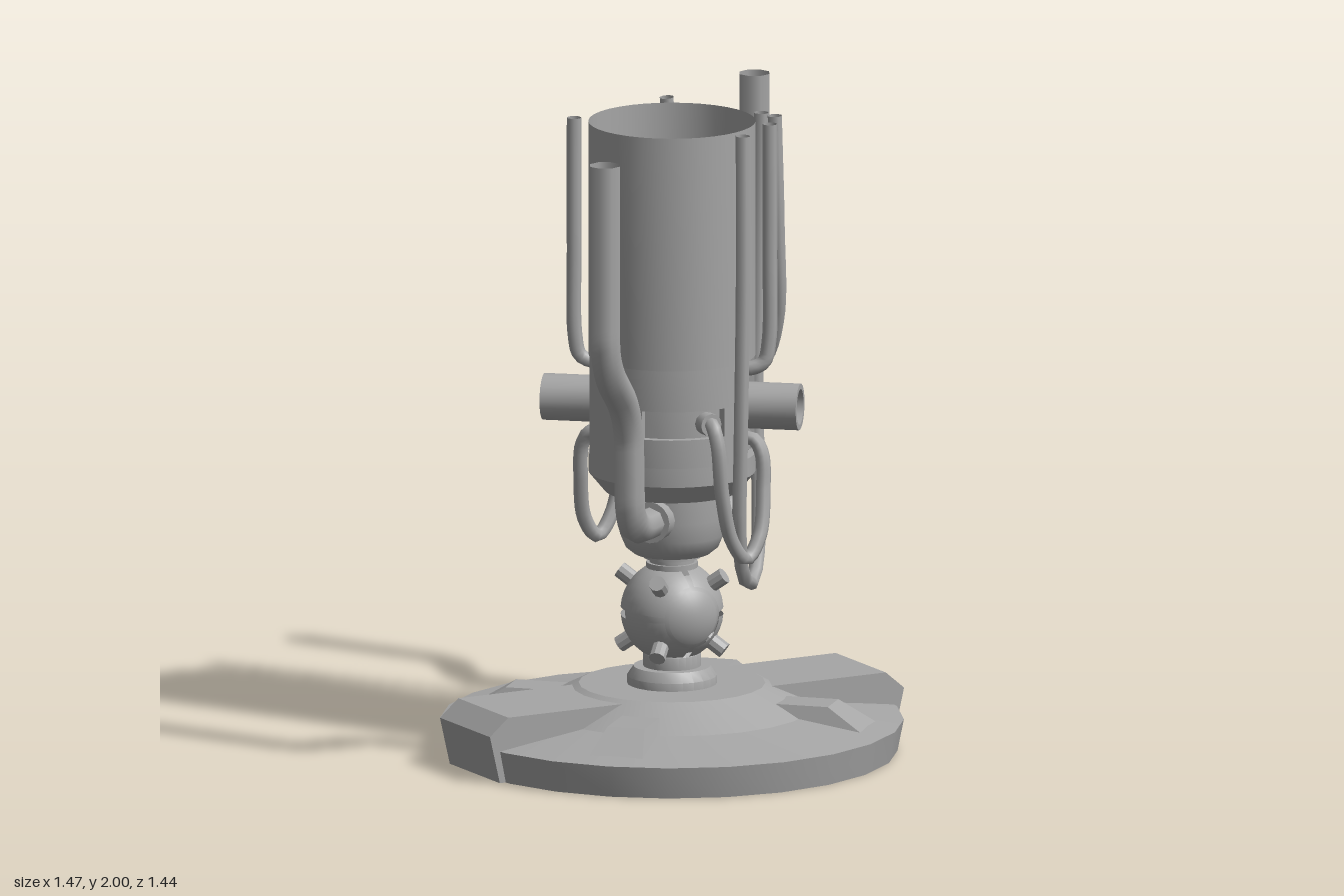
import * as THREE from 'three';
import { toCreasedNormals } from 'three/addons/utils/BufferGeometryUtils.js';

const metal = new THREE.MeshStandardMaterial({ color: 0xa6a6a6, side: THREE.DoubleSide });
metal.name = 'grey metal';
const rad = THREE.MathUtils.degToRad;
const V = (x, y, z) => new THREE.Vector3(x, y, z);

export function createModel() {
  const model = new THREE.Group();
  model.name = 'hose column';

  const add = (name, geo, parent = model, crease = 0.6) => {
    const mesh = new THREE.Mesh(crease ? toCreasedNormals(geo, crease) : geo, metal);
    mesh.name = name;
    parent.add(mesh);
    return mesh;
  };
  // Turned part; angles in degrees, 0 = front, 90 = +x
  const turned = (pts, seg = 24, a0 = 0, a1 = 360) => new THREE.LatheGeometry(
    pts.map(p => new THREE.Vector2(...p)), seg, rad(a0), rad(a1 - a0));
  // Group turned about y so its local +z points at the given angle
  const facing = (name, deg) => {
    const g = new THREE.Group();
    g.name = name;
    g.rotation.y = rad(deg);
    model.add(g);
    return g;
  };
  const hose = pts => new THREE.TubeGeometry(
    new THREE.CatmullRomCurve3(pts.map(p => V(...p))), 48, 0.023, 8);
  // Straight runs with rounded corners
  const bentPath = (pts, r) => {
    const path = new THREE.CurvePath();
    let from = pts[0];
    for (let i = 1; i < pts.length - 1; i++) {
      const c = pts[i];
      const cut = q => {
        const d = q.clone().sub(c);
        return c.clone().addScaledVector(d.normalize(), Math.min(r, c.distanceTo(q) * 0.48));
      };
      const a = cut(pts[i - 1]), b = cut(pts[i + 1]);
      path.add(new THREE.LineCurve3(from, a));
      path.add(new THREE.QuadraticBezierCurve3(a, c, b));
      from = b;
    }
    path.add(new THREE.LineCurve3(from, pts[pts.length - 1]));
    return path;
  };

  // Hollow base disc
  add('baseDisc', turned([[0.70, 0], [0.72, 0.1], [0.44, 0.14], [0.29, 0.215], [0, 0.215]]), model, 0.3);

  for (const side of [0, 180]) {
    // Wide raised wedge on each side of the base
    const s = new THREE.Shape([[0.25, 0.205], [0.28, 0.17], [0.66, 0], [0.70, 0], [0.735, 0.15], [0.67, 0.205]]
      .map(p => new THREE.Vector2(...p)));
    const wedge = new THREE.ExtrudeGeometry(s, { depth: 0.32, bevelEnabled: false });
    wedge.translate(0, 0, -0.16);
    add('baseWedge', wedge, facing('wedgeSide', side), 0.3);
  }
  // Small sloped blocks on the diagonals, flaring toward the rim
  for (const a of [45, 135, 225, 315]) {
    const block = new THREE.BoxGeometry(1, 1, 1);
    const p = block.attributes.position;
    for (let i = 0; i < p.count; i++) {
      const top = p.getY(i) > 0, out = p.getZ(i) > 0;
      p.setXYZ(i, Math.sign(p.getX(i)) * (top ? 0.06 : 0.09), top ? 0.18 : 0.1,
        out ? (top ? 0.52 : 0.65) : 0.32);
    }
    block.computeVertexNormals();
    add('baseBlock', block, facing('blockSide', a), 0.3);
  }

  // Stepped pedestal and neck
  add('pedestal', turned([[0.14, 0.2], [0.14, 0.24], [0.12, 0.27], [0.09, 0.27], [0.09, 0.31], [0.07, 0.34]]));
  add('upperNeck', turned([[0.08, 0.56], [0.08, 0.6], [0.07, 0.6], [0.07, 0.615], [0.09, 0.615], [0.09, 0.65]]));

  // Ball joint: core, four shell quarters, end caps and studs
  const ball = new THREE.Group();
  ball.name = 'ballJoint';
  ball.position.y = 0.445;
  model.add(ball);
  add('ballCore', new THREE.SphereGeometry(0.147, 24, 16), ball, 0);
  const gap = 0.08;
  for (let i = 0; i < 4; i++) {
    const shell = new THREE.SphereGeometry(0.16, 8, 14, i * Math.PI / 2 + gap, Math.PI / 2 - 2 * gap, 0.65, Math.PI - 1.3);
    add('ballShell', shell.rotateX(Math.PI / 2), ball, 0);
  }
  for (const s of [1, -1]) {
    add('ballCap', new THREE.SphereGeometry(0.158, 24, 5, 0, Math.PI * 2, 0, 0.57).rotateX(s * Math.PI / 2), ball, 0);
    for (const y of [1, -1]) for (const z of [1, -1]) {
      const dir = V(s, y, z).normalize();
      const stud = add('ballStud', new THREE.CylinderGeometry(0.026, 0.026, 0.07, 10), ball);
      stud.position.copy(dir).multiplyScalar(0.172);
      stud.quaternion.setFromUnitVectors(V(0, 1, 0), dir);
    }
  }

  // Cup under the barrel and the tapered barrel foot
  add('cup', turned([[0, 0.63], [0.12, 0.63], [0.145, 0.65], [0.162, 0.69], [0.168, 0.75], [0.17, 0.83]], 36));
  add('barrelFoot', turned([[0.17, 0.83], [0.21, 0.83], [0.26, 0.89], [0.26, 0.95]], 36), model, 0.4);

  // Open barrel with recesses cut into its lower band
  const R = 0.26;
  add('barrel', turned([[R, 1.26], [R, 2]], 36));
  const wall = (y0, y1, a0, a1) =>
    add('barrelWall', turned([[R, y0], [R, y1]], (a1 - a0) / 10, a0, a1));
  const recess = (y0, y1, a0, a1, r) => {
    add('recess', turned([[R, y0], [r, y0], [r, y1], [R, y1]], (a1 - a0) / 10, a0, a1));
    for (const a of [a0, a1]) {
      const jamb = new THREE.PlaneGeometry(R - r, y1 - y0).rotateY(Math.PI / 2);
      add('recessEdge', jamb.translate(0, (y0 + y1) / 2, (R + r) / 2), facing('recessSide', a));
    }
  };
  for (const o of [0, 180]) {
    wall(0.95, 1.04, o + 70, o + 210);
    wall(1.04, 1.13, o + 70, o + 130);
    wall(1.04, 1.13, o + 10, o + 30);
    wall(1.13, 1.26, o + 70, o + 210);
    recess(0.95, 1.26, o + 30, o + 70, 0.21);
    recess(1.04, 1.13, o - 50, o + 10, 0.235);

    // Hollow socket pointing out of the tall recess
    const socket = turned([[0.073, 0.2], [0.073, 0.405], [0.056, 0.405], [0.056, 0.3], [0, 0.3]], 20);
    add('socket', socket.rotateX(Math.PI / 2).translate(0, 1.107, 0), facing('socketSide', o + 50));

    // Thin hoses and their ports, repeated on the opposite side
    const g = facing('hoseSet', o);
    add('risingHose', hose([[0.15, 1.225, 0.13], [0.19, 1.225, 0.165], [0.225, 1.245, 0.183],
      [0.24, 1.31, 0.188], [0.243, 1.6, 0.188], [0.243, 2, 0.188]]), g, 0);
    add('loopHose', hose([[-0.01, 1.085, 0.23], [-0.01, 1.085, 0.275], [-0.005, 1.03, 0.3], [0.015, 0.86, 0.295],
      [0.06, 0.71, 0.275], [0.12, 0.645, 0.26], [0.175, 0.71, 0.245], [0.205, 0.85, 0.215],
      [0.21, 0.96, 0.195], [0.195, 1.0, 0.17], [0.15, 1.0, 0.13]]), g, 0);
    const port = (x, y, z, deg) => {
      const m = add('hosePort', new THREE.CylinderGeometry(0.036, 0.036, 0.04, 12).rotateX(Math.PI / 2), g);
      m.position.set(x, y, z);
      m.rotation.y = rad(deg);
    };
    port(-0.01, 1.085, 0.25, 0);
    port(0.17, 1.225, 0.143, 50);
    port(0.17, 1.0, 0.143, 50);
  }

  // Two long hanging hoses
  add('longFrontHose', hose([[0.085, 2, 0.3], [0.085, 1.5, 0.3], [0.08, 1.0, 0.295], [0.09, 0.72, 0.27],
    [0.13, 0.58, 0.225], [0.185, 0.545, 0.175], [0.235, 0.6, 0.12], [0.275, 0.77, 0.06],
    [0.29, 1.1, 0.015], [0.295, 1.5, 0.02], [0.3, 2, 0.03]]), model, 0);
  add('longSideHose', hose([[0.315, 2, 0.09], [0.325, 1.65, 0.09], [0.345, 1.36, 0.055], [0.345, 1.2, -0.03],
    [0.325, 1.145, -0.13], [0.28, 1.19, -0.22], [0.22, 1.35, -0.285], [0.18, 1.65, -0.31], [0.15, 2, -0.305]]), model, 0);

  // Heavy bent pipes leaving the cup; points are [distance from axis, height]
  const pipe = (name, deg, pts, r) => {
    const g = facing(name, deg);
    const path = bentPath(pts.map(([d, y]) => V(0, y, d)), r);
    add(name + 'Tube', new THREE.TubeGeometry(path, 72, 0.05, 8), g, 0);
    const collar = new THREE.CylinderGeometry(0.066, 0.066, 0.06, 16).rotateX(Math.PI / 2);
    add('pipeCollar', collar.translate(0, 0.765, 0.175), g);
    return g;
  };
  pipe('rightPipe', -49, [[0.61, 1.985], [0.61, 1.34], [0.395, 1.15], [0.38, 0.77], [0.13, 0.76]], 0.11);
  const left = pipe('leftPipe', 130.6, [[0.735, 2], [0.735, 1.34], [0.52, 1.17], [0.515, 0.7],
    [0.40, 0.62], [0.27, 0.76], [0.13, 0.77]], 0.11);
  // Sleeve on the left pipe
  add('pipeSleeve', turned([[0.05, 0.915], [0.062, 0.915], [0.075, 0.935], [0.075, 1.085], [0.062, 1.105], [0.05, 1.105]], 12)
    .translate(0, 0, 0.517), left);

  return model;
}
